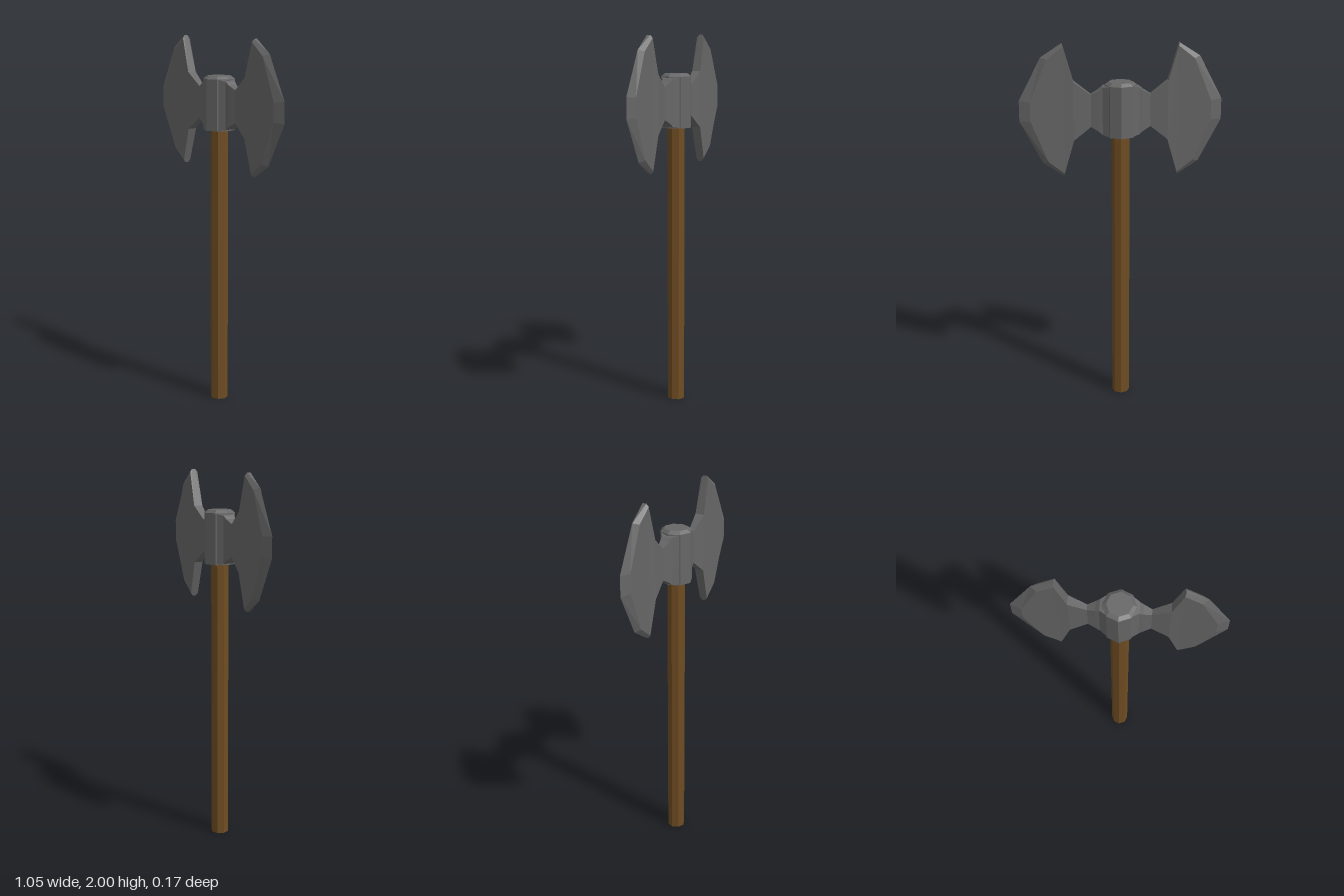
import * as THREE from 'three';

const steel = new THREE.MeshStandardMaterial({ color: 0x666666, flatShading: true });
const wood = new THREE.MeshStandardMaterial({ color: 0x6e4c22, flatShading: true });
const HEAD_Y = 1.65;

// Blade sections going outwards: inner (flat face) x, half height, half depth; rim x, half height, half depth
const SECTIONS = [
  [0.05, 0.135, 0.06, 0.05, 0.135, 0.06],
  [0.095, 0.125, 0.03, 0.095, 0.125, 0.03],
  [0.115, 0.108, 0.026, 0.115, 0.108, 0.026],
  [0.155, 0.085, 0.015, 0.155, 0.085, 0.015],
  [0.245, 0.155, 0.025, 0.245, 0.155, 0.025],
  [0.297, 0.335, 0.022, 0.30, 0.35, 0.01],
  [0.38, 0.27, 0.022, 0.41, 0.28, 0],
  [0.47, 0.05, 0.022, 0.527, 0.055, 0],
];

function bladeGeometry() {
  const positions = [];
  const index = [];
  for (const [xi, hi, zi, xr, hr, zr] of SECTIONS) {
    positions.push(
      xi, hi, zi, xr, hr, zr, xr, hr, -zr, xi, hi, -zi,
      xi, -hi, -zi, xr, -hr, -zr, xr, -hr, zr, xi, -hi, zi
    );
  }
  const quad = (a, b, c, d) => index.push(a, b, c, a, c, d);
  for (let s = 0; s < SECTIONS.length - 1; s++) {
    for (let i = 0; i < 8; i++) {
      const j = (i + 1) % 8;
      quad(s * 8 + i, s * 8 + 8 + i, s * 8 + 8 + j, s * 8 + j);
    }
  }
  // Bevels of the outermost cutting edge, front and back
  const e = (SECTIONS.length - 1) * 8;
  quad(e, e + 7, e + 6, e + 1);
  quad(e + 3, e + 2, e + 5, e + 4);
  const geometry = new THREE.BufferGeometry();
  geometry.setAttribute('position', new THREE.Float32BufferAttribute(positions, 3));
  geometry.setIndex(index);
  geometry.computeVertexNormals();
  return geometry;
}

export function createModel() {
  const model = new THREE.Group();
  const add = (name, geometry, material, y) => {
    const mesh = new THREE.Mesh(geometry, material);
    mesh.name = name;
    mesh.position.y = y;
    model.add(mesh);
    return mesh;
  };

  // Octagonal wooden shaft
  add('handle', new THREE.CylinderGeometry(0.048, 0.048, 1.6, 8), wood, 0.8);

  // Octagonal socket with a chamfered top
  add('socket', new THREE.CylinderGeometry(0.084, 0.084, 0.27, 8), steel, 1.65);
  add('socketCap', new THREE.CylinderGeometry(0.064, 0.084, 0.015, 8), steel, 1.7925);

  // Two identical blades on opposite sides
  const blade = bladeGeometry();
  add('leftBlade', blade, steel, HEAD_Y);
  add('rightBlade', blade, steel, HEAD_Y).rotation.y = Math.PI;

  return model;
}
